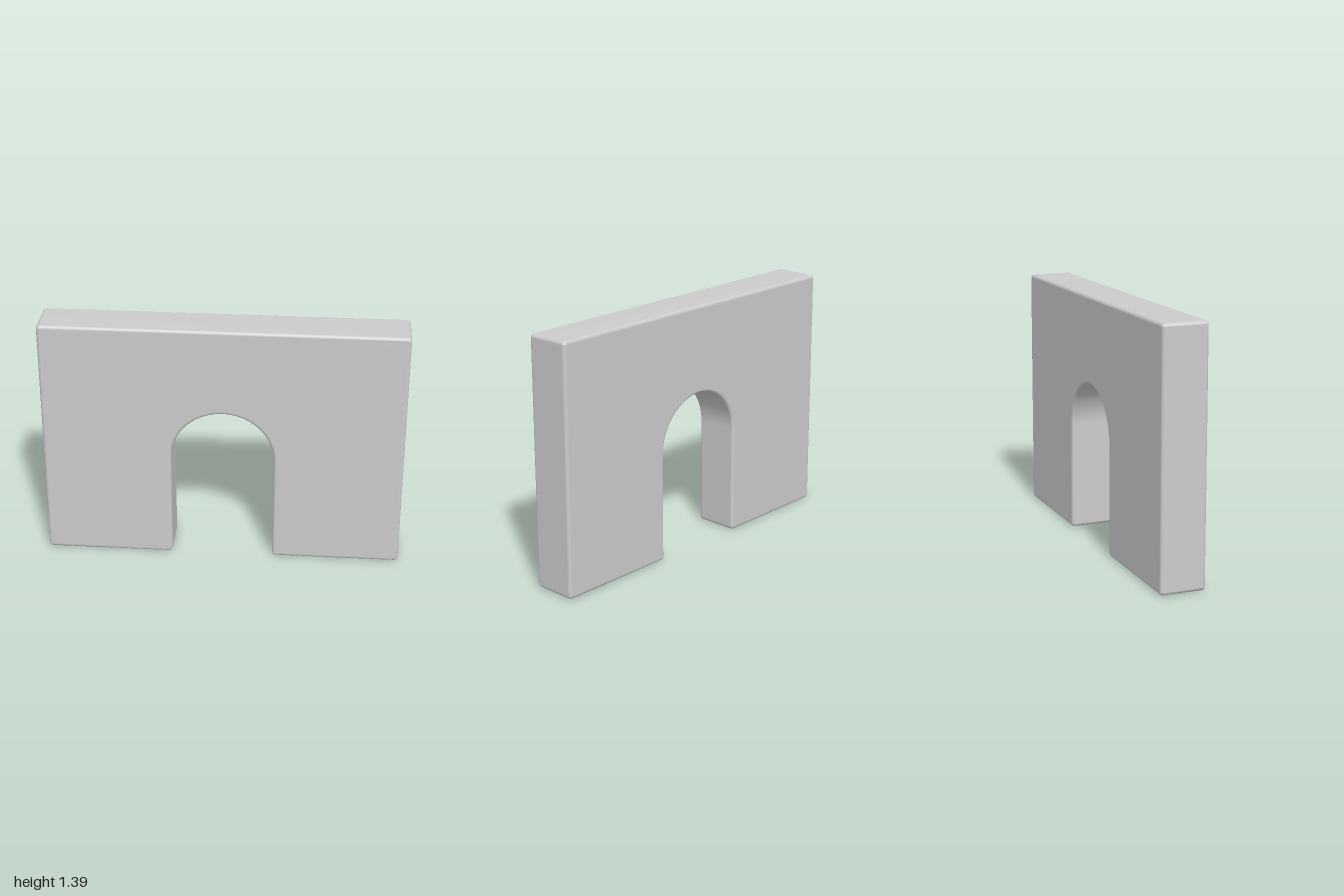
import * as THREE from 'three';
import { mergeVertices } from 'three/addons/utils/BufferGeometryUtils.js';

const HALF_WIDTH = 1, HEIGHT = 1.395, DEPTH = 0.252;
const ARCH_RADIUS = 0.285, ARCH_SPRING = 0.615;
const BEVEL = 0.018, CORNER = 0.004;

// Points along an arc
function arc(cx, cy, radius, start, sweep, steps) {
  return Array.from({ length: steps + 1 }, (_, i) => {
    const a = start + (sweep * i) / steps;
    return new THREE.Vector2(cx + radius * Math.cos(a), cy + radius * Math.sin(a));
  });
}

// Wall outline, inset so that the bevel grows it to full size
function wallOutline() {
  const side = HALF_WIDTH - BEVEL - CORNER;
  const bottom = BEVEL + CORNER;
  const top = HEIGHT - BEVEL - CORNER;
  const opening = ARCH_RADIUS + BEVEL;
  const corner = (x, y, quarter) => arc(x, y, CORNER, (quarter * Math.PI) / 2, Math.PI / 2, 3);
  return new THREE.Shape([
    ...corner(-side, bottom, 2),
    ...corner(-opening - CORNER, bottom, 3),
    ...arc(0, ARCH_SPRING, opening, Math.PI, -Math.PI, 40),
    ...corner(opening + CORNER, bottom, 2),
    ...corner(side, bottom, 3),
    ...corner(side, top, 0),
    ...corner(-side, top, 1),
  ]);
}

export function createModel() {
  const group = new THREE.Group();
  group.name = 'archedWall';

  // Solid wall with an arched doorway and softly rounded edges
  const core = DEPTH - 2 * BEVEL;
  const extruded = new THREE.ExtrudeGeometry(wallOutline(), {
    depth: core, bevelEnabled: true, bevelSize: BEVEL, bevelThickness: BEVEL, bevelSegments: 5,
  });
  extruded.translate(0, 0, -core / 2);

  // Weld, so area-weighted normals keep the faces flat and the edges smooth
  extruded.deleteAttribute('uv');
  extruded.deleteAttribute('normal');
  const geometry = mergeVertices(extruded);
  geometry.computeVertexNormals();

  const wall = new THREE.Mesh(geometry, new THREE.MeshStandardMaterial({ color: 0xcccccc }));
  wall.name = 'wall';
  group.add(wall);
  return group;
}
